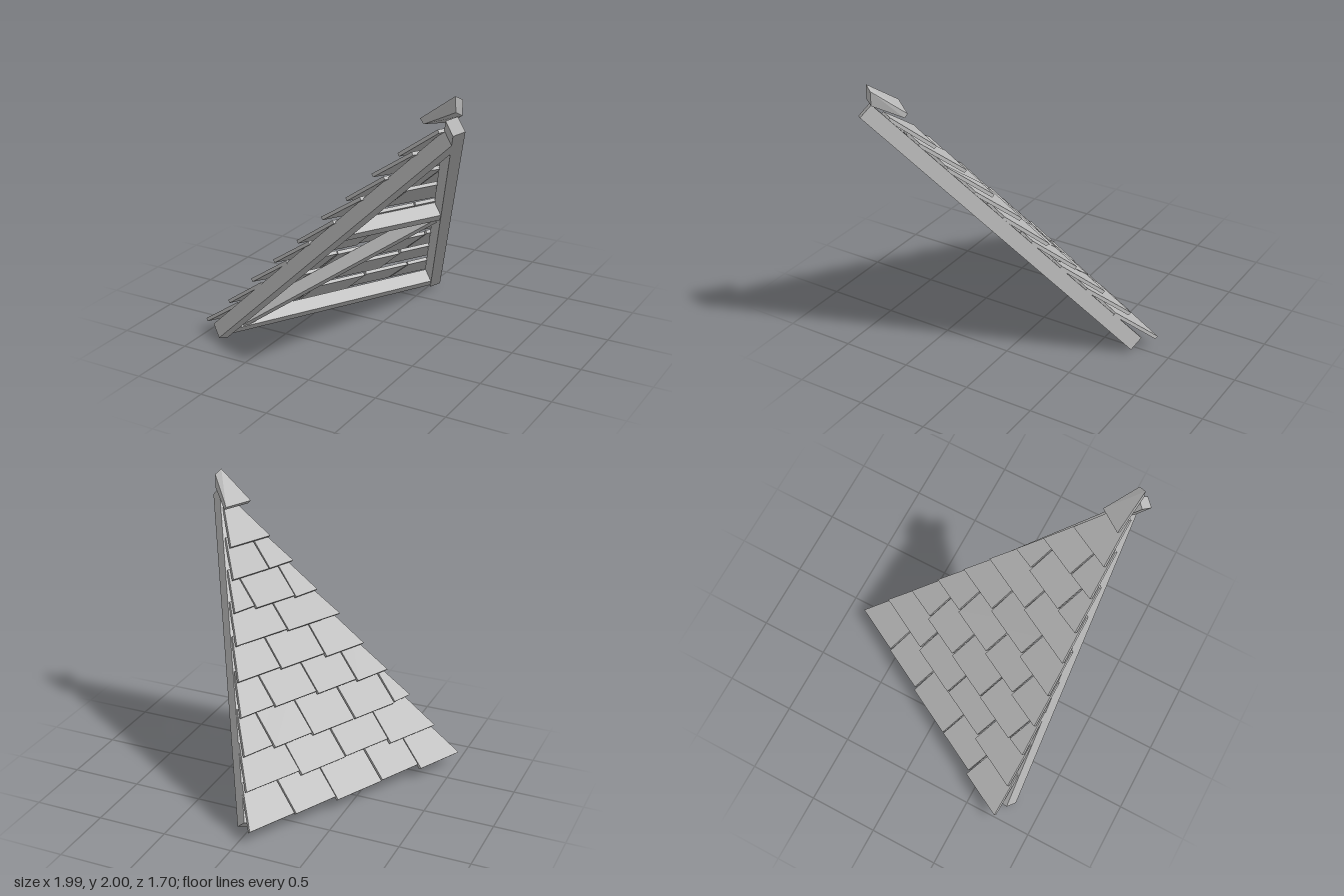
import * as THREE from 'three';
import { ConvexGeometry } from 'three/addons/geometries/ConvexGeometry.js';

export function createModel() {
  const model = new THREE.Group();
  model.name = 'roofCorner';
  const grey = new THREE.MeshStandardMaterial({ color: 0xb8b8b8 });
  grey.name = 'grey';
  const v = (x, y, z) => new THREE.Vector3(x, y, z);

  // Sloping panel frame: x along the eave, y up the slope, z outwards
  const left = v(-0.855, 0.06, 0.76), back = v(0.01, 0.05, -0.74), apex = v(0.87, 1.72, 0.69);
  const mid = left.clone().add(back).multiplyScalar(0.5);
  const along = left.clone().sub(back).normalize();
  const out = along.clone().cross(apex.clone().sub(mid)).normalize();
  const up = out.clone().cross(along);
  const panel = new THREE.Group();
  panel.name = 'panel';
  const basis = new THREE.Matrix4().makeBasis(along, up, out).setPosition(mid);
  basis.decompose(panel.position, panel.quaternion, panel.scale);
  model.add(panel);
  const local = (p) => p.clone().applyMatrix4(basis.clone().invert());

  // Timber between two points of the panel, lengthened at each end
  function beam(name, a, b, width, depth, before = 0, after = 0) {
    const d = b.clone().sub(a);
    const dir = d.clone().normalize();
    const mesh = new THREE.Mesh(new THREE.BoxGeometry(d.length() + before + after, width, depth), grey);
    mesh.position.copy(a).add(b).multiplyScalar(0.5).addScaledVector(dir, (after - before) / 2);
    mesh.rotation.z = Math.atan2(d.y, d.x);
    mesh.name = name;
    panel.add(mesh);
  }
  const l = local(left), c = local(back), a = local(apex);
  beam('leftRafter', l, a, 0.08, 0.11, 0.015);
  beam('backRafter', c, a, 0.08, 0.11, 0, 0.14);
  beam('eaveBeam', v(-0.82, 0.05, 0), v(0.82, 0.05, 0), 0.075, 0.1);
  beam('collarBeam', v(-0.4, 1.195, 0), v(0.37, 1.195, 0), 0.075, 0.1);
  beam('diagonalBrace', v(0.74, 0.09, 0), v(-0.37, 1.14, 0), 0.06, 0.09);

  // Shingles: overlapping tilted slabs, trimmed to the sloping sides
  let seed = 7;
  const jitter = (s) => {
    seed = (seed * 16807) % 2147483647;
    return (seed / 2147483647 - 0.5) * s;
  };
  const minX = (y) => -0.936 + 0.38 * (y + 0.06);
  const maxX = (y) => 0.914 - 0.386 * (y + 0.06);
  const pitch = 0.245, length = 0.33, thick = 0.025;

  function shingle(x0, x1, y0, atStart, atEnd) {
    const y1 = y0 + length;
    const geo = new THREE.BoxGeometry(1, 1, 1);
    const p = geo.attributes.position;
    const lo = minX(y1), hi = Math.max(maxX(y1), lo + 0.01);
    const lift = jitter(0.012);
    for (let i = 0; i < p.count; i++) {
      const right = p.getX(i) > 0, top = p.getY(i) > 0, outer = p.getZ(i) > 0;
      const y = top ? y1 : y0 + (right ? 0.006 : -0.006);
      let x = right ? x1 : x0;
      if (top) {
        if (right && atEnd) x = hi;
        if (!right && atStart) x = lo;
        x = Math.min(hi, Math.max(lo, x));
      }
      p.setXYZ(i, x, y, (top ? 0.07 : 0.135 + lift) - (outer ? 0 : thick));
    }
    geo.computeVertexNormals();
    const mesh = new THREE.Mesh(geo, grey);
    mesh.name = 'shingle';
    panel.add(mesh);
  }

  for (let row = 0; row < 9; row++) {
    const y = -0.06 + row * pitch;
    const joints = [minX(y)];
    for (let k = -4; k <= 4; k++) {
      const x = (k + (row % 2 ? 0 : 0.5)) * 0.36 + jitter(0.08);
      if (x > minX(y) + 0.15 && x < maxX(y) - 0.15) joints.push(x);
    }
    joints.push(maxX(y));
    const last = joints.length - 2;
    for (let i = 0; i <= last; i++) {
      shingle(joints[i] + (i ? 0.005 : 0), joints[i + 1] - (i < last ? 0.005 : 0),
        y + jitter(0.035), i === 0, i === last);
    }
  }

  // Peak cap: a wedge that is thin at its lower edge
  const cap = new THREE.Mesh(new ConvexGeometry([
    v(0.65, 1.81, 0.71), v(0.77, 1.79, 0.55), v(0.91, 2.0, 0.76), v(0.935, 1.97, 0.71),
    v(0.68, 1.78, 0.72), v(0.79, 1.765, 0.56), v(0.915, 1.9, 0.76), v(0.935, 1.87, 0.71),
  ]), grey);
  cap.name = 'peakCap';
  model.add(cap);
  return model;
}
